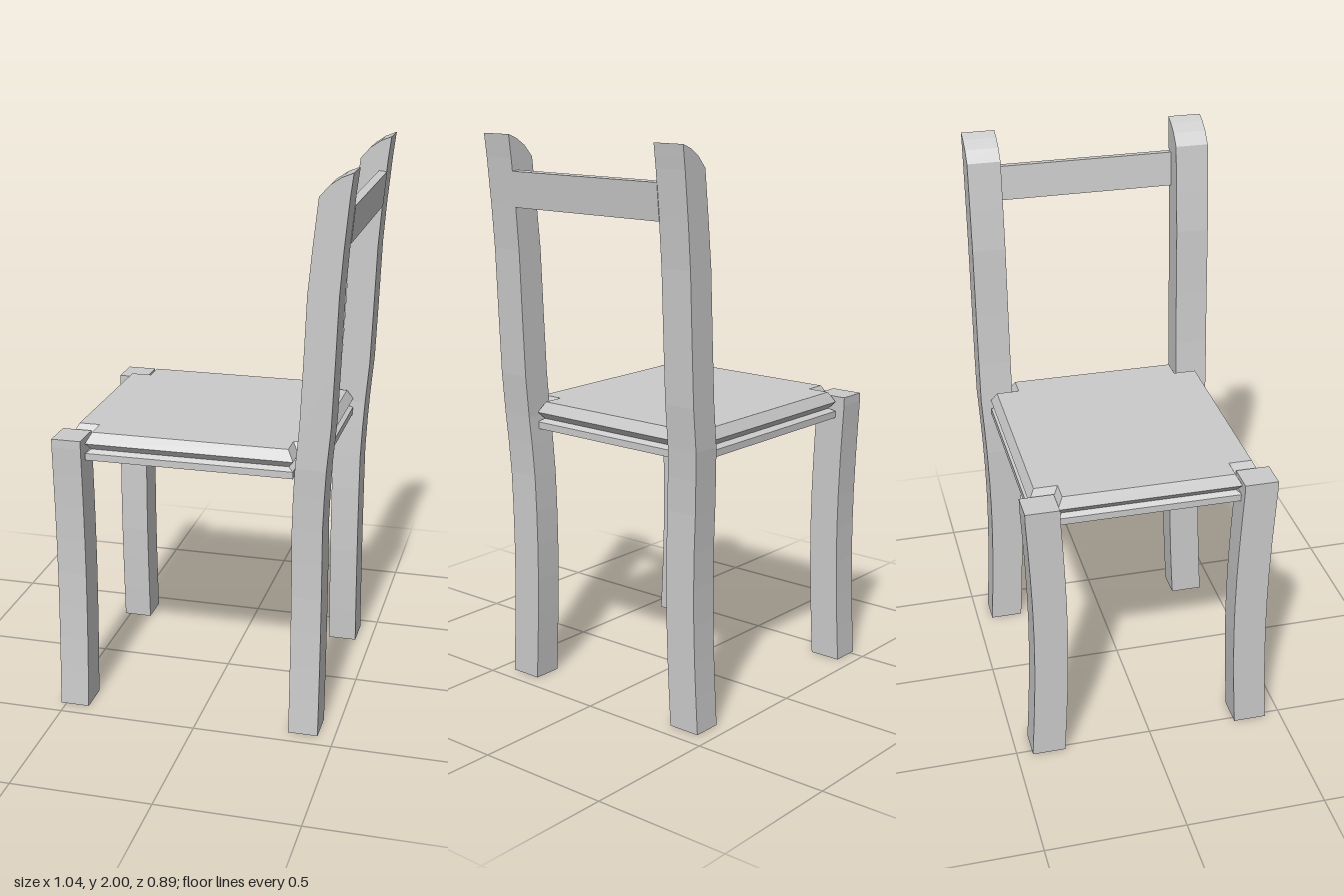
import * as THREE from 'three';

const material = new THREE.MeshStandardMaterial({ color: 0xcccccc, flatShading: true });

// Skin stacked rings of [x, y, z] corners, closed with a centre fan at each end.
function loft(name, rings) {
  const pos = [];
  const tri = (...corners) => corners.forEach((p) => pos.push(...p));
  const centre = (ring) => [0, 1, 2].map((k) => ring.reduce((s, p) => s + p[k], 0) / ring.length);
  const n = rings[0].length;
  const last = rings[rings.length - 1];
  const bottom = centre(rings[0]);
  const top = centre(last);
  for (let i = 0; i < n; i++) {
    const j = (i + 1) % n;
    for (let r = 0; r < rings.length - 1; r++) {
      const a = rings[r], b = rings[r + 1];
      tri(a[i], a[j], b[j]);
      tri(a[i], b[j], b[i]);
    }
    tri(bottom, rings[0][j], rings[0][i]);
    tri(top, last[i], last[j]);
  }
  const geometry = new THREE.BufferGeometry();
  geometry.setAttribute('position', new THREE.Float32BufferAttribute(pos, 3));
  geometry.computeVertexNormals();
  const mesh = new THREE.Mesh(geometry, material);
  mesh.name = name;
  return mesh;
}

// Leg from [y, xFront, xBack] sections; below the seat it bows gently inward.
function leg(name, side, sections) {
  return loft(name, sections.map(([y, x0, x1]) => {
    const bow = y < 1 ? 0.018 * Math.sin(Math.PI * y) : 0;
    const za = side * (0.323 - bow), zb = side * (0.443 - bow);
    const z0 = Math.min(za, zb), z1 = Math.max(za, zb);
    return [[x1, y, z1], [x1, y, z0], [x0, y, z0], [x0, y, z1]];
  }));
}

// Seat outline with notched corners, shrunk by d.
function seatRing(y, d) {
  const x0 = -0.485 + d, x1 = 0.405 - d, z = 0.408 - d;
  const nx0 = -0.41 + d, nx1 = 0.33 - d, nz = 0.325 - d;
  return [
    [x1, nz], [x1, -nz], [nx1, -nz], [nx1, -z], [nx0, -z], [nx0, -nz],
    [x0, -nz], [x0, nz], [nx0, nz], [nx0, z], [nx1, z], [nx1, nz],
  ].map(([px, pz]) => [px, y, pz]);
}

export function createModel() {
  const chair = new THREE.Group();
  chair.name = 'chair';

  // Seat: lower board, V groove, bevelled top
  chair.add(loft('seat', [
    seatRing(0.95, 0), seatRing(0.975, 0), seatRing(0.987, 0.018),
    seatRing(1.01, 0), seatRing(1.048, 0.021),
  ]));

  // Short front legs, and rear legs that rise into curved back posts
  const frontSections = [0, 0.13, 0.26, 0.39, 0.52, 0.65, 0.78, 0.9, 1, 1.03]
    .map((y) => [y, -0.52, -0.414]);
  const rearSections = [
    ...[0, 0.13, 0.26, 0.39, 0.52, 0.65, 0.78].map((y) => [y, 0.334, 0.44]),
    [0.9, 0.338, 0.445], [1, 0.344, 0.451], [1.15, 0.357, 0.464], [1.35, 0.366, 0.472],
    [1.6, 0.376, 0.481], [1.75, 0.39, 0.492], [1.92, 0.408, 0.508],
    [1.96, 0.443, 0.513], [1.985, 0.48, 0.516], [2, 0.517, 0.518],
  ];
  for (const [label, side] of [['A', 1], ['B', -1]]) {
    chair.add(leg('frontLeg' + label, side, frontSections));
    chair.add(leg('rearLeg' + label, side, rearSections));
  }

  // Back slat, leaning with the posts
  const slat = new THREE.Mesh(new THREE.BoxGeometry(0.03, 0.125, 0.65), material);
  slat.name = 'backSlat';
  slat.position.set(0.485, 1.814, 0);
  slat.rotation.z = -0.09;
  chair.add(slat);

  return chair;
}
